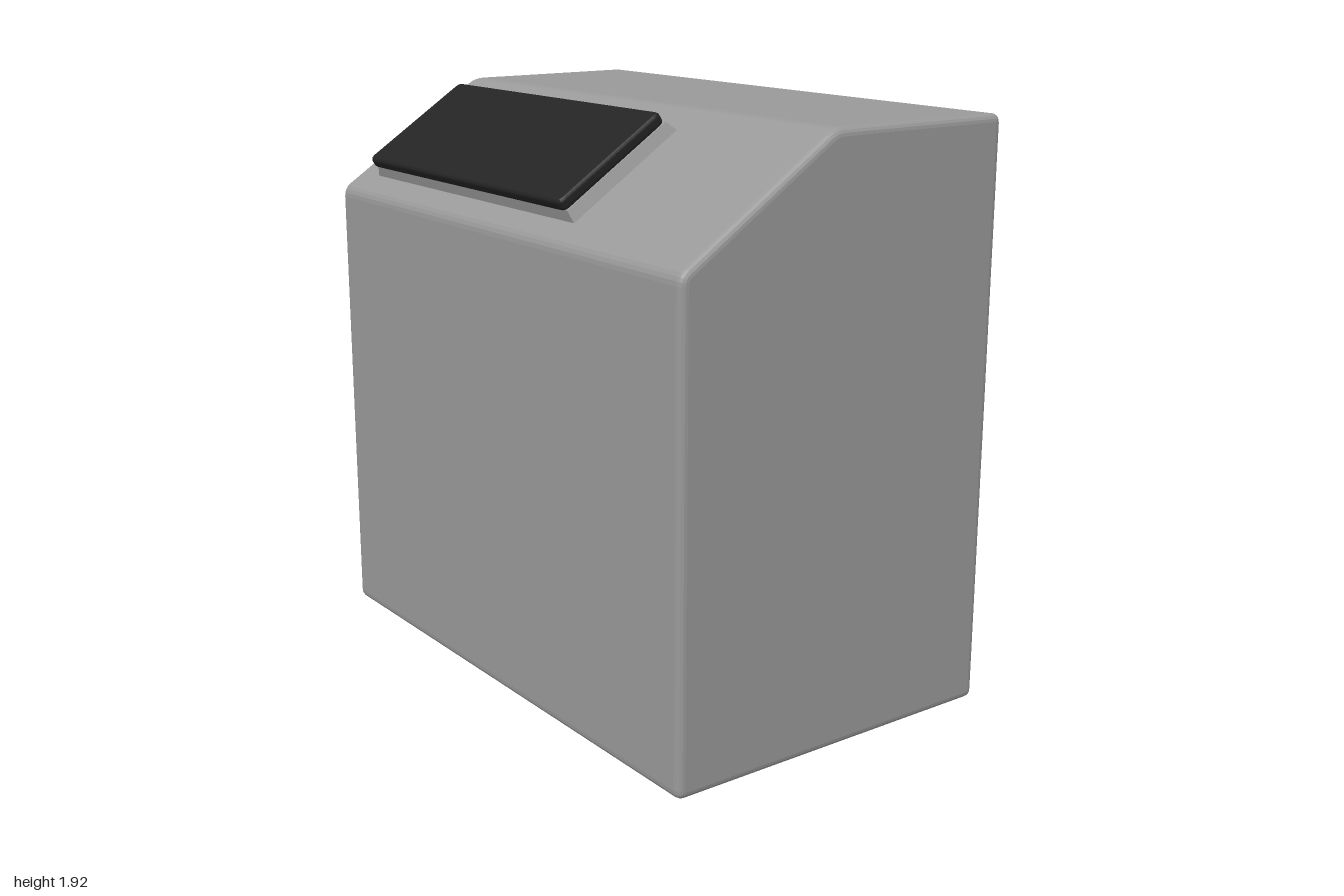
import * as THREE from 'three';

const grey = new THREE.MeshStandardMaterial({ name: 'casing grey', color: 0x999999 });
const black = new THREE.MeshStandardMaterial({ name: 'panel black', color: 0x242424 });

// Closed outline with each corner rounded by r.
function roundedOutline(points, r) {
  const shape = new THREE.Shape();
  const v = points.map(([x, y]) => new THREE.Vector2(x, y));
  v.forEach((p, i) => {
    const toward = (q) => q.clone().sub(p).setLength(r).add(p);
    const a = toward(v[(i + v.length - 1) % v.length]);
    const b = toward(v[(i + 1) % v.length]);
    if (i === 0) shape.moveTo(a.x, a.y);
    else shape.lineTo(a.x, a.y);
    shape.quadraticCurveTo(p.x, p.y, b.x, b.y);
  });
  shape.closePath();
  return shape;
}

// Slab of exact thickness from z = 0, with eased edges.
function slab(points, thickness, radius, bevel) {
  return new THREE.ExtrudeGeometry(roundedOutline(points, radius), {
    depth: thickness - 2 * bevel,
    bevelSize: bevel,
    bevelThickness: bevel,
    bevelOffset: -bevel,
    bevelSegments: 4,
    curveSegments: 4,
  }).translate(0, 0, bevel);
}

function addMesh(parent, name, geometry, material) {
  const mesh = new THREE.Mesh(geometry, material);
  mesh.name = name;
  parent.add(mesh);
  return mesh;
}

export function createModel() {
  const model = new THREE.Group();
  model.name = 'slantTopConsole';

  // Casing: side profile (first value is -z) extruded across the width
  const profile = [[-0.61, 0], [0.61, 0], [0.61, 1.92], [-0.06, 1.92], [-0.61, 1.56]];
  const casing = slab(profile, 2, 0.03, 0.025);
  casing.translate(0, 0, -1).rotateY(Math.PI / 2);
  addMesh(model, 'casing', casing, grey);

  // Control panel lying on the slanted face: local y runs up the slope, z points out
  const panel = new THREE.Group();
  panel.name = 'controlPanel';
  panel.position.set(0, 1.56, 0.61);
  panel.rotation.x = -Math.atan2(0.55, 0.36);
  model.add(panel);

  // Raised plinth with tapered sides
  const plinth = new THREE.BoxGeometry(1.245, 0.465, 0.05);
  const pos = plinth.attributes.position;
  for (let i = 0; i < pos.count; i++) {
    if (pos.getZ(i) > 0) pos.setXY(i, pos.getX(i) * 0.96, pos.getY(i) * 0.94);
  }
  plinth.computeVertexNormals();
  plinth.translate(-0.247, 0.322, 0.012);
  addMesh(panel, 'panelPlinth', plinth, grey);

  // Dark display plate
  const plate = slab([[-0.86, 0.095], [0.35, 0.095], [0.35, 0.542], [-0.86, 0.542]], 0.043, 0.025, 0.014);
  addMesh(panel, 'displayPlate', plate.translate(0, 0, 0.034), black);

  return model;
}
